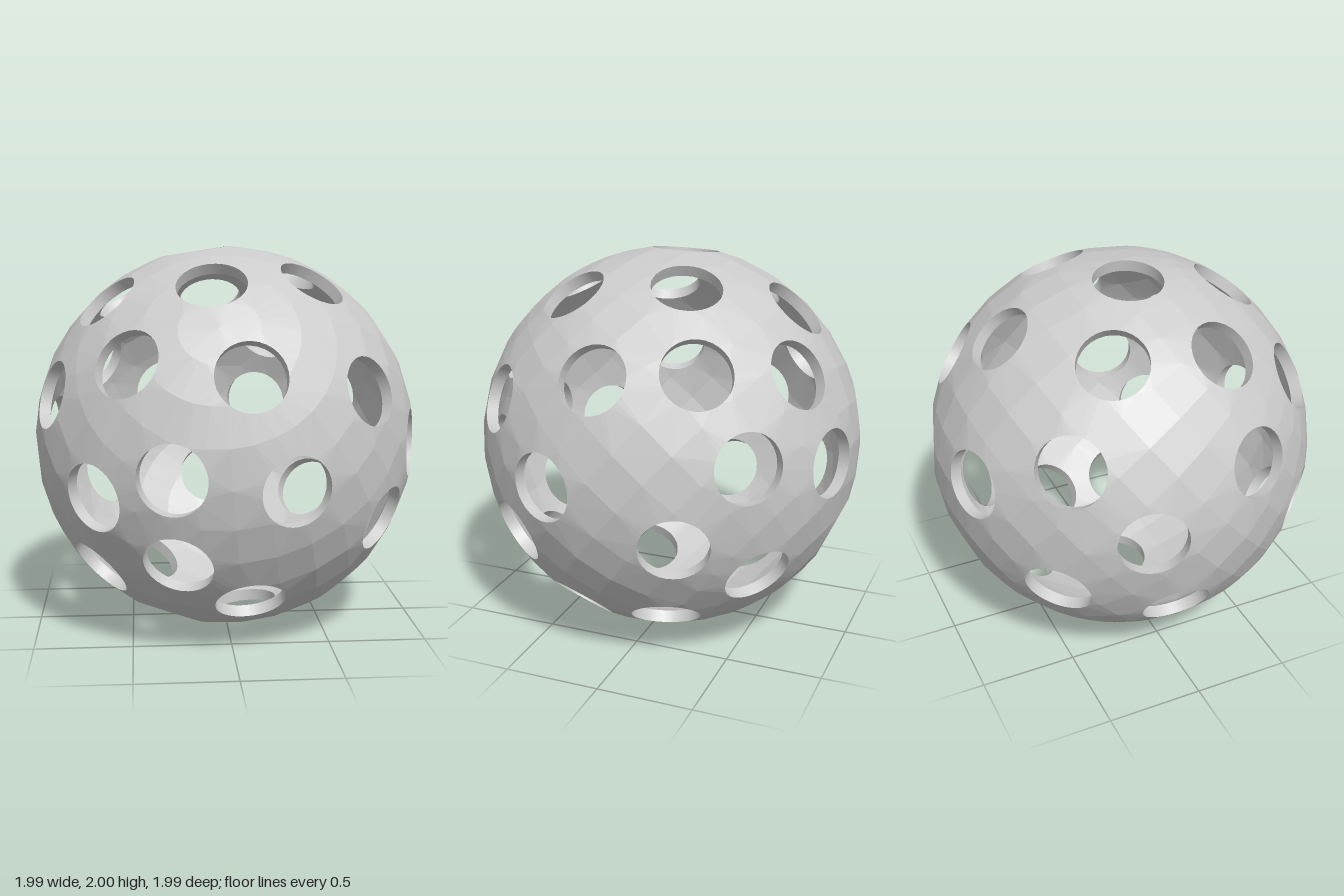
import * as THREE from 'three';
import { ConvexGeometry } from 'three/addons/geometries/ConvexGeometry.js';

const OUTER = 1, INNER = 0.94, HOLE = 0.175, SIDES = 32;
const UP = new THREE.Vector3(0, 1, 0);
const POLE = new THREE.Vector3(-0.08, 0.64, 0.77).normalize();

// directions of the round holes, seen from the ball's centre
const HOLES = [
  // front
  [-0.1, 0.82, 0.53], [0.41, 0.82, 0.36], [-0.61, 0.73, 0.26],
  [-0.51, 0.46, 0.7], [0.06, 0.42, 0.89], [0.66, 0.32, 0.67],
  [-0.89, 0.27, 0.33], [-0.31, -0.05, 0.93], [0.27, -0.11, 0.94],
  [0.94, 0, 0.3], [-0.68, -0.18, 0.69], [0.75, -0.34, 0.54],
  [-0.28, -0.49, 0.81], [-0.66, -0.6, 0.42], [0.08, -0.72, 0.67],
  [0.6, -0.735, 0.26], [-0.31, -0.89, 0.28],
  // sides, top and bottom
  [0.36, 0.89, -0.22], [0.83, 0.53, 0.07], [0.7, 0.57, -0.4],
  [0.71, 0.15, -0.66], [0.89, -0.24, -0.36], [0.61, -0.74, -0.21],
  [-0.15, 0.97, -0.02], [-0.55, 0.77, -0.28], [-0.95, 0.01, -0.25],
  [-0.86, -0.51, -0.07], [0.11, -0.98, 0.02],
  // back
  [0.33, 0.51, -0.78], [0.27, 0.06, -0.946], [0.56, -0.46, -0.67],
  [0.16, -0.81, -0.54], [-0.04, 0.74, -0.65], [-0.72, 0.36, -0.57],
  [-0.32, 0.14, -0.925], [-0.03, -0.41, -0.895], [-0.67, -0.34, -0.63],
  [-0.43, -0.81, -0.36],
].map((p) => new THREE.Vector3(...p).normalize());

const material = (flatShading, side = THREE.FrontSide) =>
  new THREE.MeshStandardMaterial({ color: 0xcccccc, flatShading, side });

const turnTo = (dir) => new THREE.Quaternion().setFromUnitVectors(UP, dir);

// faceted sphere with the round openings left out
function perforatedSphere(radius, inward) {
  const angle = Math.asin(HOLE / radius);
  const points = [];
  const spherePoint = (polar, around, q) =>
    new THREE.Vector3().setFromSphericalCoords(radius, polar, around).applyQuaternion(q);

  // hole rims
  for (const hole of HOLES) {
    const q = turnTo(hole);
    for (let i = 0; i < SIDES; i++) points.push(spherePoint(angle, (i / SIDES) * Math.PI * 2, q));
  }
  // rings around the tilted pole, clear of the holes
  const tilt = turnTo(POLE);
  for (let ring = 0; ring <= 16; ring++) {
    const count = ring % 16 ? 32 : 1;
    for (let i = 0; i < count; i++) {
      const p = spherePoint((ring / 16) * Math.PI, (i / count) * Math.PI * 2, tilt);
      if (HOLES.every((h) => h.angleTo(p) > angle * 1.1)) points.push(p);
    }
  }

  // drop the flat caps that close the holes
  const hull = new ConvexGeometry(points).attributes.position;
  const limit = radius * Math.cos(angle) - 1e-4;
  const kept = [];
  const [a, b, c, mid] = [0, 1, 2, 3].map(() => new THREE.Vector3());
  for (let i = 0; i < hull.count; i += 3) {
    [a, b, c].forEach((v, k) => v.fromBufferAttribute(hull, i + k));
    mid.copy(a).add(b).add(c).divideScalar(3);
    if (HOLES.some((h) => h.dot(mid) > limit)) continue;
    for (const v of inward ? [a, c, b] : [a, b, c]) kept.push(v.x, v.y, v.z);
  }
  const geometry = new THREE.BufferGeometry();
  geometry.setAttribute('position', new THREE.Float32BufferAttribute(kept, 3));
  geometry.computeVertexNormals();
  return geometry;
}

export function createModel() {
  const ball = new THREE.Group();
  ball.name = 'perforatedBall';
  ball.position.y = 1;

  const outer = new THREE.Mesh(perforatedSphere(OUTER, false), material(true));
  outer.name = 'outerShell';
  const inner = new THREE.Mesh(perforatedSphere(INNER, true), material(true));
  inner.name = 'innerShell';
  ball.add(outer, inner);

  // short tubes joining the outer and inner rims
  const top = Math.sqrt(OUTER ** 2 - HOLE ** 2);
  const bottom = Math.sqrt(INNER ** 2 - HOLE ** 2);
  const tube = new THREE.CylinderGeometry(HOLE, HOLE, top - bottom, SIDES, 1, true);
  const tubeMaterial = material(false, THREE.BackSide);
  const walls = new THREE.Group();
  walls.name = 'holeWalls';
  for (const hole of HOLES) {
    const wall = new THREE.Mesh(tube, tubeMaterial);
    wall.name = 'holeWall';
    wall.quaternion.copy(turnTo(hole));
    wall.position.copy(hole).multiplyScalar((top + bottom) / 2);
    walls.add(wall);
  }
  ball.add(walls);

  const model = new THREE.Group();
  model.name = 'model';
  model.add(ball);
  return model;
}
